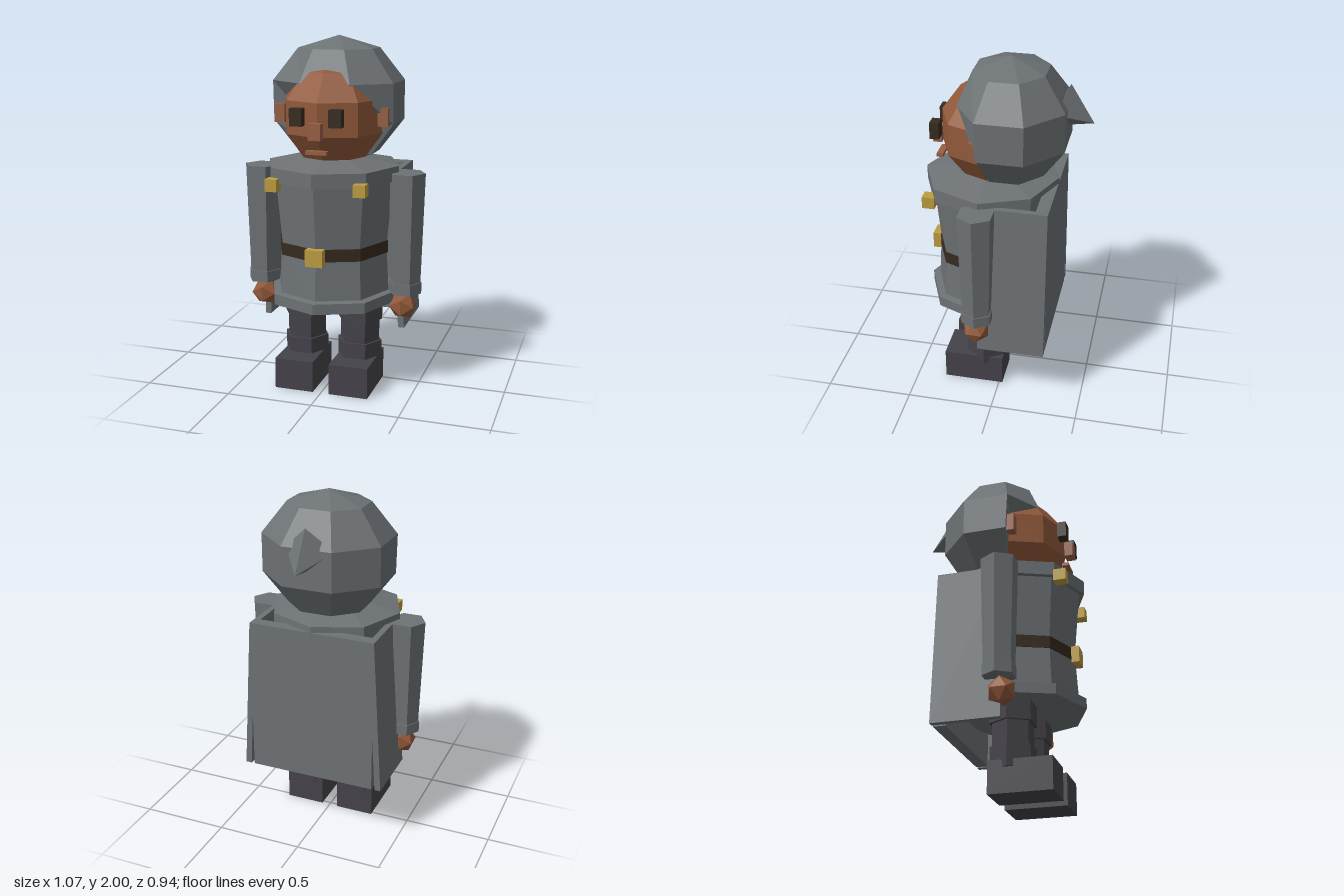
import * as THREE from 'three';

const mat = (name, color) => {
  const m = new THREE.MeshStandardMaterial({ color, flatShading: true });
  m.name = name;
  return m;
};

export function createModel() {
  const model = new THREE.Group();
  model.name = 'cloakedFigure';
  const cloth = mat('greyCloth', 0x6d7275);
  const skin = mat('brownSkin', 0x92593a);
  const feature = mat('lightSkin', 0x965f45);
  const dark = mat('darkBrown', 0x362b1f);
  const gold = mat('gold', 0xbd9d42);
  const boots = mat('charcoal', 0x45434a);

  const add = (name, geo, material, x = 0, y = 0, z = 0) => {
    const mesh = new THREE.Mesh(geo, material);
    mesh.name = name;
    mesh.position.set(x, y, z);
    model.add(mesh);
    return mesh;
  };
  // box given by its limits on each axis
  const box = (name, material, x0, x1, y0, y1, z0, z1) =>
    add(name, new THREE.BoxGeometry(Math.abs(x1 - x0), y1 - y0, z1 - z0), material,
      (x0 + x1) / 2, (y0 + y1) / 2, (z0 + z1) / 2);
  // eight-sided turned part with a corner facing forward
  const turned = (name, material, points) =>
    add(name, new THREE.LatheGeometry(points.map(p => new THREE.Vector2(...p)), 8), material, 0, 0, 0.09);
  // six-sided upright prism with corners on the left and right
  const prism = (name, material, x, rTop, rBottom, y0, y1) =>
    add(name, new THREE.CylinderGeometry(rTop, rBottom, y1 - y0, 6).rotateY(Math.PI / 6),
      material, x, (y0 + y1) / 2, 0.09);

  // Coat, shoulder collar and belt
  turned('coat', cloth, [[0, 0.515], [0.372, 0.515], [0.372, 0.575], [0.33, 0.58],
    [0.315, 0.84], [0.352, 1.22], [0.352, 1.25]]);
  turned('collar', cloth, [[0.34, 1.22], [0.382, 1.22], [0.382, 1.3], [0.18, 1.34], [0, 1.34]]);
  turned('belt', dark, [[0.3, 0.8], [0.323, 0.8], [0.323, 0.87], [0.3, 0.87]]);
  box('buckle', gold, -0.05, 0.05, 0.78, 0.875, 0.395, 0.44);

  // Head
  add('head', new THREE.SphereGeometry(0.3, 8, 5), skin, 0, 1.57, 0.085);
  box('nose', feature, -0.035, 0.035, 1.47, 1.56, 0.37, 0.42);
  box('mouth', feature, -0.06, 0.06, 1.39, 1.41, 0.36, 0.397);

  // Hair, set back around the face
  const hair = new THREE.SphereGeometry(0.36, 8, 5).rotateY(Math.PI / 8).scale(1.1, 1, 1);
  hair.translate(0, 1.64, -0.02);
  const p = hair.attributes.position;
  for (let i = 0; i < p.count; i++) {
    p.setZ(i, Math.min(p.getZ(i), p.getY(i) > 1.7 ? 0.25 : 0.1));
  }
  hair.computeVertexNormals();
  add('hair', hair, cloth);

  // Pointed tuft at the back
  const axis = new THREE.Vector3(0, -0.42, -0.9).normalize();
  const tuft = add('hairTuft', new THREE.ConeGeometry(0.14, 0.21, 4), cloth, 0, 1.695, -0.377);
  tuft.quaternion.setFromUnitVectors(new THREE.Vector3(0, 1, 0), axis);

  // Back of the cape
  box('capeBack', cloth, -0.37, 0.37, 0.36, 1.265, -0.29, -0.22);

  for (const [side, s] of [['left', 1], ['right', -1]]) {
    // Face details and shoulder studs
    box(side + 'Eye', dark, s * 0.075, s * 0.145, 1.54, 1.635, 0.355, 0.407);
    box(side + 'Ear', feature, s * 0.27, s * 0.33, 1.52, 1.625, 0.055, 0.145);
    box(side + 'Stud', gold, s * 0.215, s * 0.283, 1.18, 1.248, 0.357, 0.427);

    // Arm
    prism(side + 'Sleeve', cloth, s * 0.427, 0.106, 0.086, 0.58, 1.265);
    prism(side + 'Cuff', cloth, s * 0.427, 0.094, 0.094, 0.575, 0.64);
    add(side + 'Hand', new THREE.IcosahedronGeometry(0.082, 0), skin, s * 0.418, 0.5, 0.1);

    // Side of the cape, leaning outward towards the hem
    const wing = new THREE.BoxGeometry(0.035, 0.905, 0.385);
    const w = wing.attributes.position;
    for (let i = 0; i < w.count; i++) w.setX(i, w.getX(i) - s * 0.028 * w.getY(i) / 0.4525);
    wing.computeVertexNormals();
    add(side + 'CapeWing', wing, cloth, s * 0.38, 0.8125, -0.0975);

    // Leg and boot
    prism(side + 'Thigh', boots, s * 0.162, 0.133, 0.133, 0.4, 0.55);
    prism(side + 'Shin', boots, s * 0.162, 0.116, 0.116, 0.25, 0.42);
    prism(side + 'BootShaft', boots, s * 0.162, 0.13, 0.13, 0.14, 0.27);
    box(side + 'Boot', boots, s * 0.048, s * 0.275, 0, 0.18, -0.02, 0.33);
  }
  return model;
}
